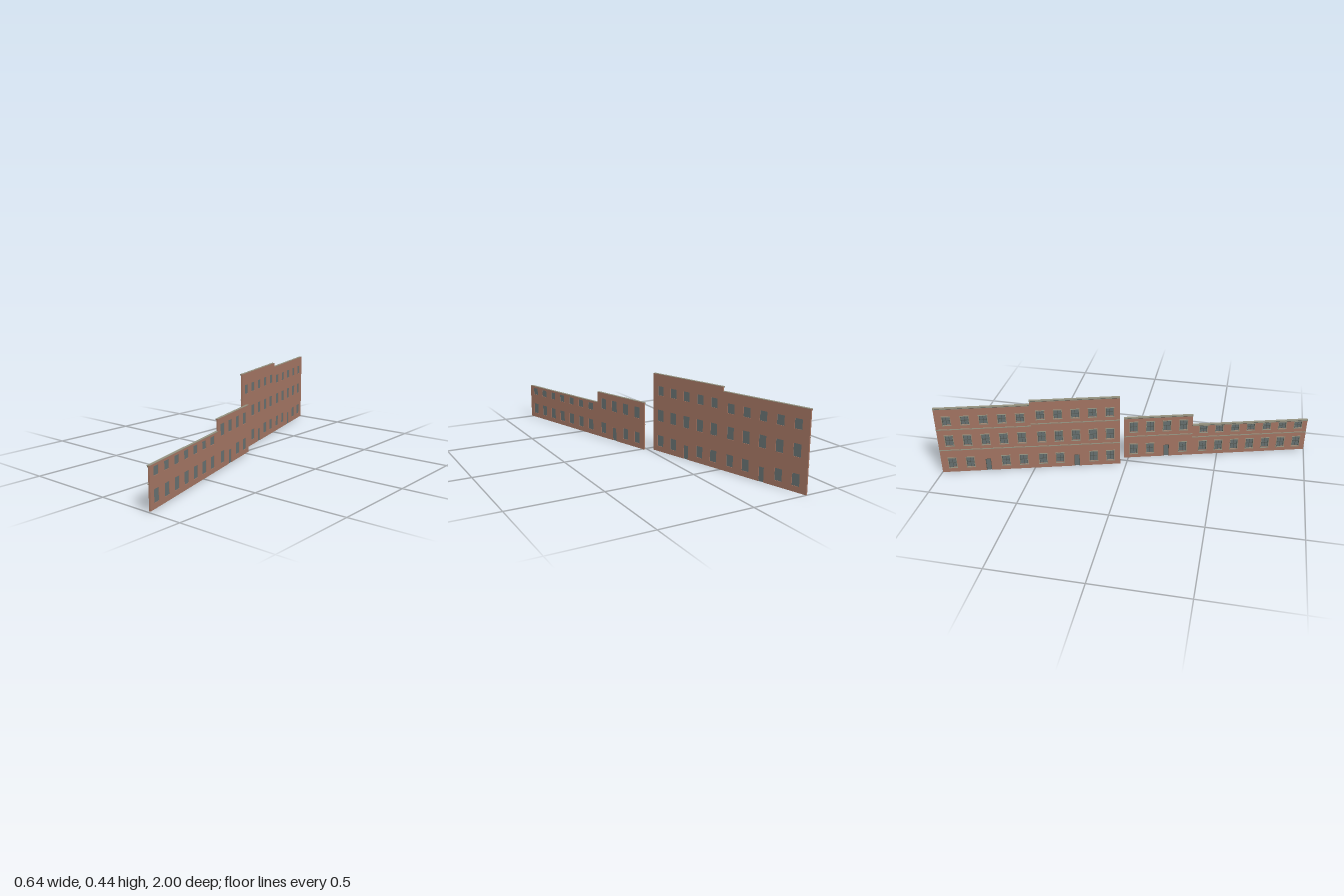
import * as THREE from 'three';

const T = 0.0085; // wall thickness

const mat = (name, color, side = THREE.FrontSide) => {
  const m = new THREE.MeshStandardMaterial({ color, side });
  m.name = name;
  return m;
};

export function createModel() {
  const brick = mat('brick', 0xa37562);
  const trim = mat('stone trim', 0x93917f);
  const sash = mat('dark sash', 0x50554f);
  const glass = mat('window glass', 0x667070);

  const box = (parent, name, m, x0, x1, y0, y1, z0, z1) => {
    const mesh = new THREE.Mesh(new THREE.BoxGeometry(x1 - x0, y1 - y0, z1 - z0), m);
    mesh.position.set((x0 + x1) / 2, (y0 + y1) / 2, (z0 + z1) / 2);
    mesh.name = name;
    parent.add(mesh);
  };

  const rect = (path, x0, x1, y0, y1) =>
    path.moveTo(x0, y0).lineTo(x1, y0).lineTo(x1, y1).lineTo(x0, y1).closePath();

  // Sash window set in its opening, with lintel, sill and jambs on the decorated face (+z)
  function addWindow(parent, x, y0, y1) {
    const g = new THREE.Group();
    g.name = 'window';
    const w = 0.0215, mid = (y0 + y1) / 2;
    box(g, 'glass', glass, x - w, x + w, y0, y1, -0.0055, -0.0045);
    for (const s of [-1, 1]) {
      const e = x + s * (w - 0.0015);
      box(g, 'sashSide', sash, e - 0.0015, e + 0.0015, y0, y1, -0.0045, -0.001);
      const j = x + s * (w + 0.001);
      box(g, 'jamb', trim, j - 0.0015, j + 0.0015, y0, y1, -0.001, 0.0015);
    }
    box(g, 'meetingRail', sash, x - w, x + w, mid - 0.001, mid + 0.001, -0.0045, -0.002);
    box(g, 'mullion', sash, x - 0.001, x + 0.001, y0, y1, -0.0045, -0.003);
    box(g, 'lintel', trim, x - w - 0.004, x + w + 0.004, y1, y1 + 0.004, -0.001, 0.0035);
    box(g, 'sill', trim, x - w - 0.004, x + w + 0.004, y0 - 0.004, y0, -0.001, 0.0035);
    parent.add(g);
  }

  function addDoor(parent, x, y0, y1) {
    const w = 0.015;
    box(parent, 'door', glass, x - w, x + w, y0, y1, -0.0055, -0.0045);
    for (const s of [-1, 1]) {
      const e = x + s * (w - 0.0015);
      box(parent, 'doorFrame', sash, e - 0.0015, e + 0.0015, y0, y1, -0.0045, -0.0005);
    }
    box(parent, 'doorHead', sash, x - w, x + w, y1 - 0.003, y1, -0.0045, -0.0005);
  }

  // One facade: a brick wall with openings, belt courses and a stepped cornice
  function facade(f) {
    const g = new THREE.Group();
    g.name = f.name;
    const { x0, x1, base, top } = f;
    const wall = new THREE.Shape();
    const hasDoor = f.door !== undefined;
    const doorX = hasDoor ? f.center + (f.door - (f.count - 1) / 2) * f.step : 0;

    // outline, notched at the doorway
    wall.moveTo(x0, base);
    if (hasDoor) {
      wall.lineTo(doorX - 0.015, base).lineTo(doorX - 0.015, f.doorTop);
      wall.lineTo(doorX + 0.015, f.doorTop).lineTo(doorX + 0.015, base);
      addDoor(g, doorX, base, f.doorTop);
    }
    wall.lineTo(x1, base).lineTo(x1, top - 0.0015).lineTo(x0, top - 0.0015).closePath();

    f.floors.forEach(([y0, y1], floor) => {
      for (let i = 0; i < f.count; i++) {
        if (floor === 0 && i === f.door) continue;
        const x = f.center + (i - (f.count - 1) / 2) * f.step;
        wall.holes.push(rect(new THREE.Path(), x - 0.0215, x + 0.0215, y0, y1));
        addWindow(g, x, y0, y1);
      }
    });
    const mesh = new THREE.Mesh(
      new THREE.ExtrudeGeometry(wall, { depth: T, bevelEnabled: false }), brick);
    mesh.position.z = -T;
    mesh.name = 'brickWall';
    g.add(mesh);

    for (const y of f.belts) box(g, 'beltCourse', trim, x0, x1, y - 0.0022, y + 0.0022, -0.001, 0.004);

    // cornice and wall cap
    box(g, 'corniceBase', trim, x0, x1, top - 0.0095, top - 0.0065, -0.001, 0.003);
    box(g, 'corniceBand', sash, x0, x1, top - 0.0065, top - 0.004, -0.001, 0.0045);
    box(g, 'corniceTop', trim, x0, x1, top - 0.004, top, -0.001, 0.0065);
    box(g, 'wallCap', trim, x0, x1, top - 0.0015, top, -T, -0.001);
    return g;
  }

  // A row of facades; local x runs along the street, local z faces out of the decorated side
  function row(name, x, z, facades) {
    const g = new THREE.Group();
    g.name = name;
    facades.forEach((f) => g.add(facade(f)));
    g.position.set(x, 0, z);
    g.rotation.y = -THREE.MathUtils.degToRad(74);
    return g;
  }

  const model = new THREE.Group();
  model.name = 'streetFacades';
  model.add(
    row('tallRow', -0.312, -0.998, [
      { name: 'farFacade', x0: 0, x1: 0.513, base: 0, top: 0.418, center: 0.26, step: 0.099, count: 5,
        door: 2, doorTop: 0.077, belts: [0.147, 0.281],
        floors: [[0.03, 0.093], [0.175, 0.24], [0.31, 0.361]] },
      { name: 'tallestFacade', x0: 0.513, x1: 1.003, base: 0, top: 0.442, center: 0.757, step: 0.095, count: 5,
        door: 2, doorTop: 0.077, belts: [0.146, 0.294],
        floors: [[0.03, 0.093], [0.175, 0.24], [0.322, 0.374]] },
    ]),
    row('lowRow', 0.019, -0.022, [
      { name: 'middleFacade', x0: 0, x1: 0.392, base: 0.005, top: 0.277, center: 0.197, step: 0.0947, count: 4,
        door: 2, doorTop: 0.081, belts: [0.15],
        floors: [[0.032, 0.096], [0.179, 0.243]] },
      { name: 'lowFacade', x0: 0.392, x1: 1.061, base: 0.005, top: 0.212, center: 0.732, step: 0.092, count: 7,
        belts: [0.127],
        floors: [[0.032, 0.096], [0.156, 0.199]] },
    ]),
  );
  return model;
}
